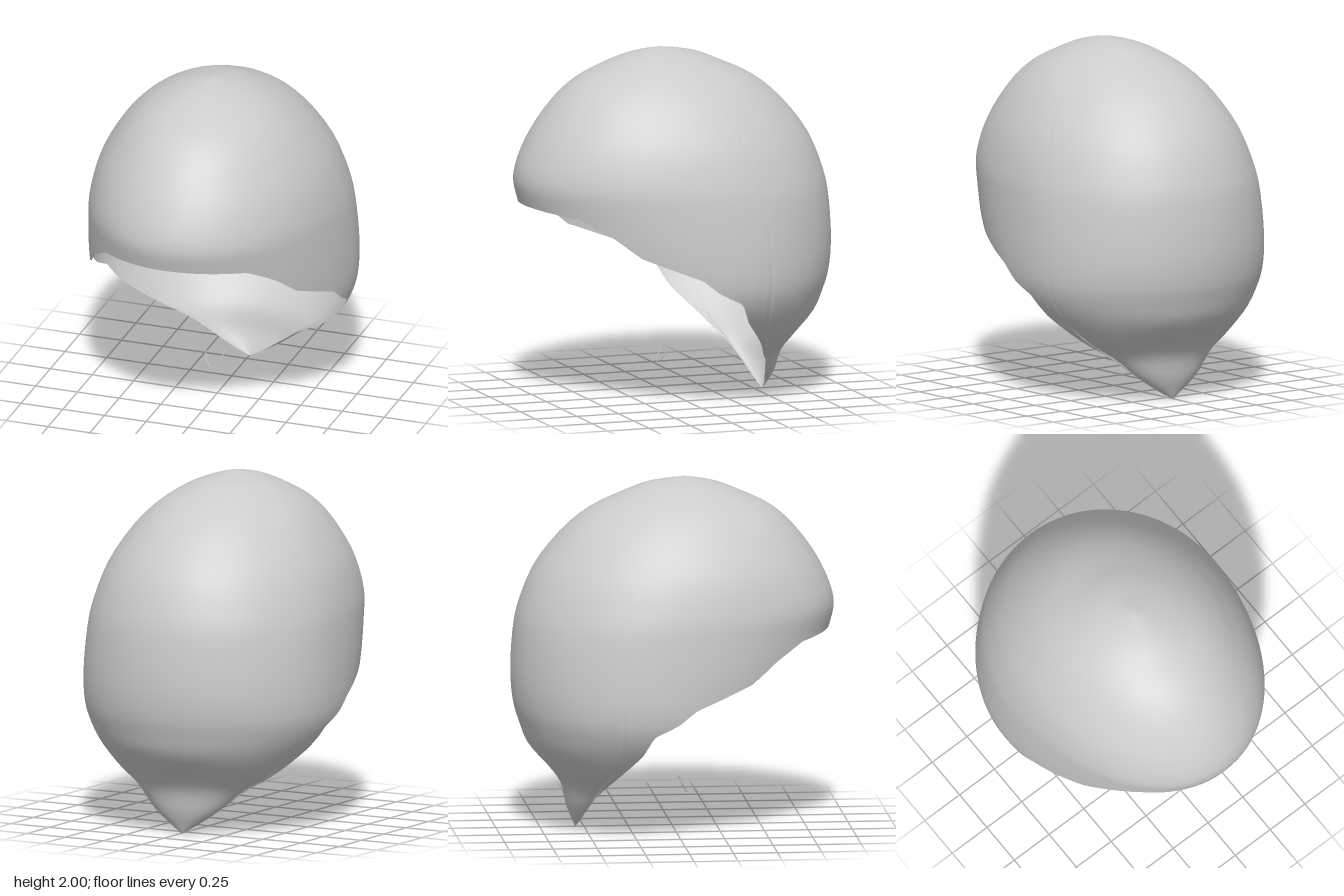
import * as THREE from 'three';

// Horizontal sections, crown to nape: [y, half width, front z, back z, z of widest point]
const SECTIONS = [
  [2.0, 0, 0.07, 0.07, 0.07],
  [1.965, 0.15, 0.25, -0.14, 0.06],
  [1.91, 0.28, 0.39, -0.28, 0.05],
  [1.82, 0.41, 0.57, -0.47, 0.03],
  [1.69, 0.53, 0.71, -0.63, 0.0],
  [1.5, 0.645, 0.84, -0.78, -0.04],
  [1.3, 0.71, 0.915, -0.865, -0.09],
  [1.14, 0.735, 0.89, -0.9, -0.13],
  [0.9, 0.75, 0.81, -0.915, -0.16],
  [0.72, 0.745, 0.7, -0.9, -0.17],
  [0.6, 0.71, 0.6, -0.865, -0.18],
  [0.48, 0.63, 0.4, -0.815, -0.22],
  [0.35, 0.5, 0.1, -0.7, -0.31],
  [0.25, 0.35, -0.1, -0.63, -0.39],
  [0.12, 0.2, -0.3, -0.6, -0.48],
  [0.0, 0.01, -0.5, -0.55, -0.54],
];

// Slanted lower edge: [y, z]; the shell lies behind it
const RIM = [
  [0, -0.55], [0.2, -0.47], [0.35, -0.36], [0.5, -0.23], [0.62, -0.17],
  [0.69, -0.03], [0.77, 0.07], [0.84, 0.25], [0.9, 0.4], [1.02, 0.55],
  [1.11, 0.7], [1.14, 0.89], [1.2, 2],
];

function rimZ(y) {
  for (let i = 1; i < RIM.length; i++) {
    const [y0, z0] = RIM[i - 1], [y1, z1] = RIM[i];
    if (y <= y1) return z0 + (z1 - z0) * (y - y0) / (y1 - y0);
  }
  return 2;
}

// Smoothly interpolated section at position s (in section numbers)
function sectionAt(s) {
  const last = SECTIONS.length - 1;
  const i = Math.min(Math.floor(s), last - 1), t = s - i;
  const row = (k) => SECTIONS[Math.max(0, Math.min(last, k))];
  return SECTIONS[0].map((_, c) => {
    const a = row(i - 1)[c], b = row(i)[c], d = row(i + 1)[c], e = row(i + 2)[c];
    return b + 0.5 * t * (d - a + t * (2 * a - 5 * b + 4 * d - e + t * (3 * (b - d) + e - a)));
  });
}

function shellPoint(s, angle) {
  const [y, w, front, back, mid] = sectionAt(s);
  const sin = Math.sin(angle);
  return [w * Math.cos(angle), y, mid + sin * (sin > 0 ? front - mid : mid - back)];
}

// Walk down one column until it meets the rim
function rimPosition(angle) {
  const end = SECTIONS.length - 1, beyond = (s) => {
    const [, y, z] = shellPoint(s, angle);
    return z > rimZ(y);
  };
  for (let s = 1; s < end; s += 0.05) {
    if (!beyond(s)) continue;
    let lo = s - 0.05, hi = s;
    for (let k = 0; k < 16; k++) {
      const m = (lo + hi) / 2;
      if (beyond(m)) hi = m; else lo = m;
    }
    return lo;
  }
  return end;
}

function shellGeometry(columns = 160, rows = 44) {
  const positions = [], index = [];
  const angles = [], ends = [];
  for (let j = 0; j < columns; j++) {
    const t = (j / columns) * Math.PI * 2;
    angles.push(t - 0.3 * Math.sin(2 * t)); // closer columns at the sides
    ends.push(rimPosition(angles[j]));
  }
  for (let i = 0; i <= rows; i++) {
    for (let j = 0; j < columns; j++) {
      positions.push(...shellPoint(ends[j] * i / rows, angles[j]));
      if (i === rows) continue;
      const n = (j + 1) % columns;
      const p = i * columns + j, q = i * columns + n;
      if (i > 0) index.push(p, q, p + columns);
      index.push(q, q + columns, p + columns);
    }
  }
  const g = new THREE.BufferGeometry();
  g.setAttribute('position', new THREE.Float32BufferAttribute(positions, 3));
  g.setIndex(index);
  g.computeVertexNormals();
  // The crown points straight up
  for (let j = 0; j < columns; j++) g.attributes.normal.setXYZ(j, 0, 1, 0);
  return g;
}

export function createModel() {
  const group = new THREE.Group();
  group.name = 'headShell';
  const grey = new THREE.MeshStandardMaterial({ color: 0xcccccc, side: THREE.DoubleSide });
  grey.name = 'light grey';

  // Open domed cap with a pointed nape
  const cap = new THREE.Mesh(shellGeometry(), grey);
  cap.name = 'cap';
  group.add(cap);

  // Small loose V-shaped sliver below the opening
  const path = new THREE.CatmullRomCurve3([
    [-0.056, 0.29, 0.035], [-0.042, 0.23, 0.06], [0, 0.188, 0.085],
    [0.042, 0.23, 0.06], [0.056, 0.29, 0.035],
  ].map((p) => new THREE.Vector3(...p)));
  const sliver = new THREE.Mesh(new THREE.TubeGeometry(path, 20, 0.003, 5), grey);
  sliver.name = 'chinSliver';
  group.add(sliver);

  return group;
}
